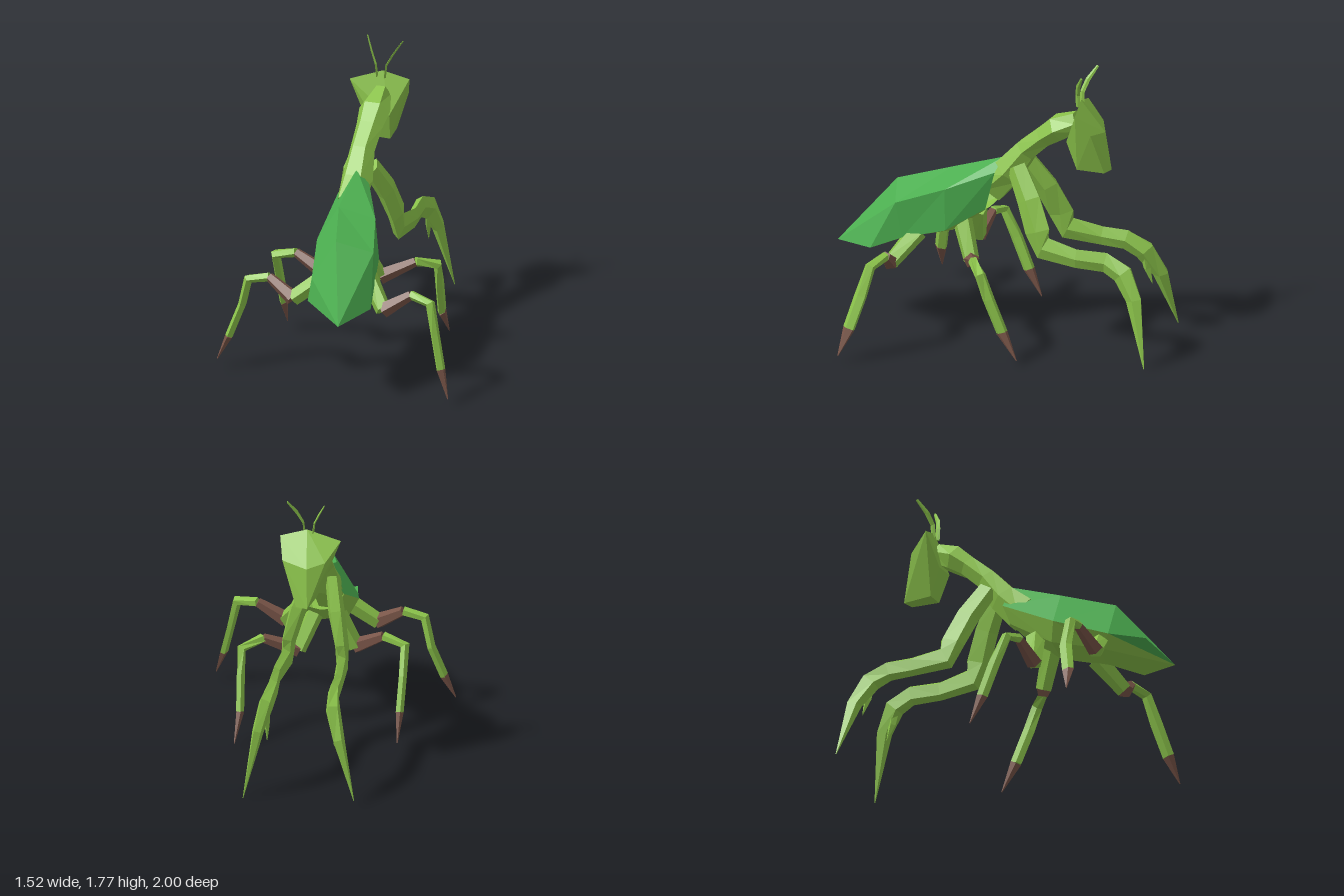
import * as THREE from 'three';
import { ConvexGeometry } from 'three/addons/geometries/ConvexGeometry.js';

const V = (p) => new THREE.Vector3(p[0], p[1], p[2]);
const paint = (color) => new THREE.MeshStandardMaterial({ color, flatShading: true, side: THREE.DoubleSide });

function meshOf(name, triangles, material) {
  const geo = new THREE.BufferGeometry().setFromPoints(triangles);
  geo.computeVertexNormals();
  const mesh = new THREE.Mesh(geo, material);
  mesh.name = name;
  return mesh;
}

// Low-poly limb: points are [x, y, z, radius along ref, radius across ref]
function limb(name, pts, ref, material, sides = 5) {
  const c = pts.map(V), tri = [];
  const rings = pts.map((p, i) => {
    const t = c[Math.min(i + 1, c.length - 1)].clone().sub(c[Math.max(i - 1, 0)]).normalize();
    const u = ref.clone().addScaledVector(t, -ref.dot(t)).normalize();
    const v = t.clone().cross(u);
    return Array.from({ length: sides }, (_, j) => {
      const a = (j / sides) * Math.PI * 2;
      return c[i].clone().addScaledVector(u, p[3] * Math.cos(a)).addScaledVector(v, p[4] * Math.sin(a));
    });
  });
  const last = rings.length - 1;
  for (let j = 0; j < sides; j++) {
    const k = (j + 1) % sides;
    for (let r = 0; r < last; r++) {
      tri.push(rings[r][j], rings[r][k], rings[r + 1][k], rings[r][j], rings[r + 1][k], rings[r + 1][j]);
    }
    tri.push(c[0], rings[0][k], rings[0][j], c[last], rings[last][j], rings[last][k]);
  }
  return meshOf(name, tri, material);
}

// Faceted sheet between rows of points
function sheet(name, rows, material, flip) {
  const tri = [];
  for (let r = 0; r < rows.length - 1; r++) {
    for (let j = 0; j < rows[r].length - 1; j++) {
      const [a, b, c, d] = [rows[r][j], rows[r][j + 1], rows[r + 1][j + 1], rows[r + 1][j]].map(V);
      if (flip) tri.push(a, c, d, a, b, c);
      else tri.push(a, d, c, a, c, b);
    }
  }
  return meshOf(name, tri, material);
}

export function createModel() {
  const model = new THREE.Group();
  const green = paint(0x4caf50), lime = paint(0x8bc34a), brown = paint(0x795548);
  const X = new THREE.Vector3(1, 0, 0), Z = new THREE.Vector3(0, 0, 1);

  // Folded wings: left edge, ridge, right shoulder, right edge
  const tip = [0.155, 0.54, 1.0];
  const wing = [
    [[-0.265, 0.97, 0.04], [-0.145, 1.145, 0.03], [-0.055, 1.07, 0.05], [-0.03, 0.83, 0.1]],
    [[-0.255, 0.8, 0.38], [-0.12, 1.03, 0.36], [0.1, 0.97, 0.31], [0.12, 0.71, 0.3]],
    [[-0.15, 0.69, 0.7], [0, 0.945, 0.675], [0.21, 0.875, 0.59], [0.2, 0.65, 0.55]],
    [[-0.08, 0.64, 0.92], tip, tip, [0.255, 0.57, 0.735]],
  ];
  model.add(sheet('wings', wing, green, false));

  // Belly hangs between the two wing edges
  const keel = [
    [[-0.22, 0.86, 0.07], [-0.1, 0.82, 0.1]],
    [[-0.2, 0.69, 0.34], [-0.02, 0.66, 0.31]],
    [[-0.1, 0.63, 0.62], [0.08, 0.61, 0.57]],
    [tip, tip],
  ];
  model.add(sheet('belly', wing.map((w, i) => [w[0], ...keel[i], w[3]]), lime, true));

  // Thorax and neck
  model.add(limb('thorax', [
    [-0.15, 0.94, 0.12, 0.09, 0.12], [-0.155, 1.06, 0.0, 0.1, 0.1], [-0.17, 1.21, -0.11, 0.08, 0.075],
    [-0.175, 1.32, -0.23, 0.085, 0.07], [-0.18, 1.39, -0.32, 0.1, 0.085], [-0.185, 1.45, -0.45, 0.055, 0.07],
  ], X, lime, 6));

  // Head: wide eye corners tapering to the mouth
  const head = new THREE.Mesh(new ConvexGeometry([
    [-0.39, 1.52, -0.42], [-0.03, 1.545, -0.5], [-0.19, 1.59, -0.465], [-0.33, 1.42, -0.55],
    [-0.07, 1.42, -0.585], [-0.23, 1.39, -0.61], [-0.245, 1.145, -0.645], [-0.17, 1.145, -0.63],
    [-0.25, 1.15, -0.46], [-0.14, 1.15, -0.46], [-0.25, 1.33, -0.4], [-0.12, 1.33, -0.4],
  ].map(V)), lime);
  head.name = 'head';
  model.add(head);

  // Antennae
  for (const s of [-1, 1]) {
    const at = (d) => -0.198 + s * d;
    model.add(limb('antenna', [
      [at(0.025), 1.55, -0.455, 0.007, 0.016], [at(0.035), 1.63, -0.455, 0.006, 0.015],
      [at(0.07), 1.7, -0.475, 0.006, 0.015], [at(0.117), 1.78, -0.52, 0.004, 0.008],
    ], X, lime, 4));
  }

  // Grasping forelegs: upper arm, forearm and hooked claw
  const arms = {
    left: [[-0.1, 1.12, -0.08], [-0.045, 0.94, -0.19], [-0.01, 0.76, -0.265], [-0.01, 0.66, -0.3],
      [-0.01, 0.63, -0.52], [-0.045, 0.625, -0.7], [-0.04, 0.57, -0.82], [-0.015, 0.42, -0.905], [0.05, 0.01, -1.0]],
    right: [[-0.23, 1.12, -0.08], [-0.29, 0.94, -0.19], [-0.345, 0.76, -0.265], [-0.36, 0.66, -0.3],
      [-0.4, 0.63, -0.51], [-0.42, 0.625, -0.66], [-0.45, 0.56, -0.77], [-0.51, 0.4, -0.85], [-0.625, 0.04, -0.91]],
  };
  const armSize = [[0.045, 0.07], [0.05, 0.085], [0.04, 0.09], [0.035, 0.085], [0.03, 0.065],
    [0.035, 0.07], [0.045, 0.075], [0.035, 0.055], [0.002, 0.003]];
  for (const [side, path] of Object.entries(arms)) {
    const arm = new THREE.Group();
    arm.name = side + 'Foreleg';
    arm.add(limb('armAndClaw', path.map((p, i) => [...p, ...armSize[i]]), X, lime));
    const [x, y, z] = path[6];
    arm.add(limb('clawSpike', [[x, y, z, 0.025, 0.04], [x - 0.01, y - 0.12, z - 0.01, 0.018, 0.025],
      [x - 0.02, y - 0.22, z - 0.04, 0.002, 0.002]], X, lime, 4));
    model.add(arm);
  }

  // Walking legs: hip, elbow, rise, knee, shin, ankle, toe
  const legs = {
    leftMiddleLeg: [[-0.02, 0.74, 0.25], [0.06, 0.52, 0.15], [0.25, 0.61, 0.05], [0.355, 0.57, -0.05],
      [0.345, 0.42, -0.1], [0.325, 0.21, -0.18], [0.33, 0.04, -0.28]],
    leftHindLeg: [[0.12, 0.68, 0.48], [0.275, 0.51, 0.59], [0.44, 0.62, 0.545], [0.58, 0.6, 0.58],
      [0.63, 0.42, 0.62], [0.69, 0.22, 0.67], [0.755, 0.055, 0.715]],
    rightMiddleLeg: [[-0.17, 0.76, 0.22], [-0.27, 0.54, 0.26], [-0.45, 0.63, 0.25], [-0.59, 0.59, 0.24],
      [-0.6, 0.42, 0.16], [-0.605, 0.22, 0.08], [-0.615, 0.05, 0]],
    rightHindLeg: [[-0.07, 0.7, 0.6], [-0.28, 0.53, 0.685], [-0.45, 0.63, 0.655], [-0.58, 0.6, 0.67],
      [-0.625, 0.42, 0.66], [-0.69, 0.22, 0.71], [-0.757, 0.07, 0.735]],
  };
  const legSize = [[0.065, 0.055], [0.05, 0.05], [0.03, 0.03], [0.035, 0.03], [0.042, 0.024], [0.04, 0.024], [0.003, 0.003]];
  const parts = [['hip', 0, 2, lime], ['thigh', 1, 3, brown], ['shin', 2, 6, lime], ['foot', 5, 7, brown]];
  for (const [name, path] of Object.entries(legs)) {
    const leg = new THREE.Group();
    leg.name = name;
    const pts = path.map((p, i) => [...p, ...legSize[i]]);
    for (const [part, from, to, mat] of parts) leg.add(limb(part, pts.slice(from, to), Z, mat));
    model.add(leg);
  }
  return model;
}
